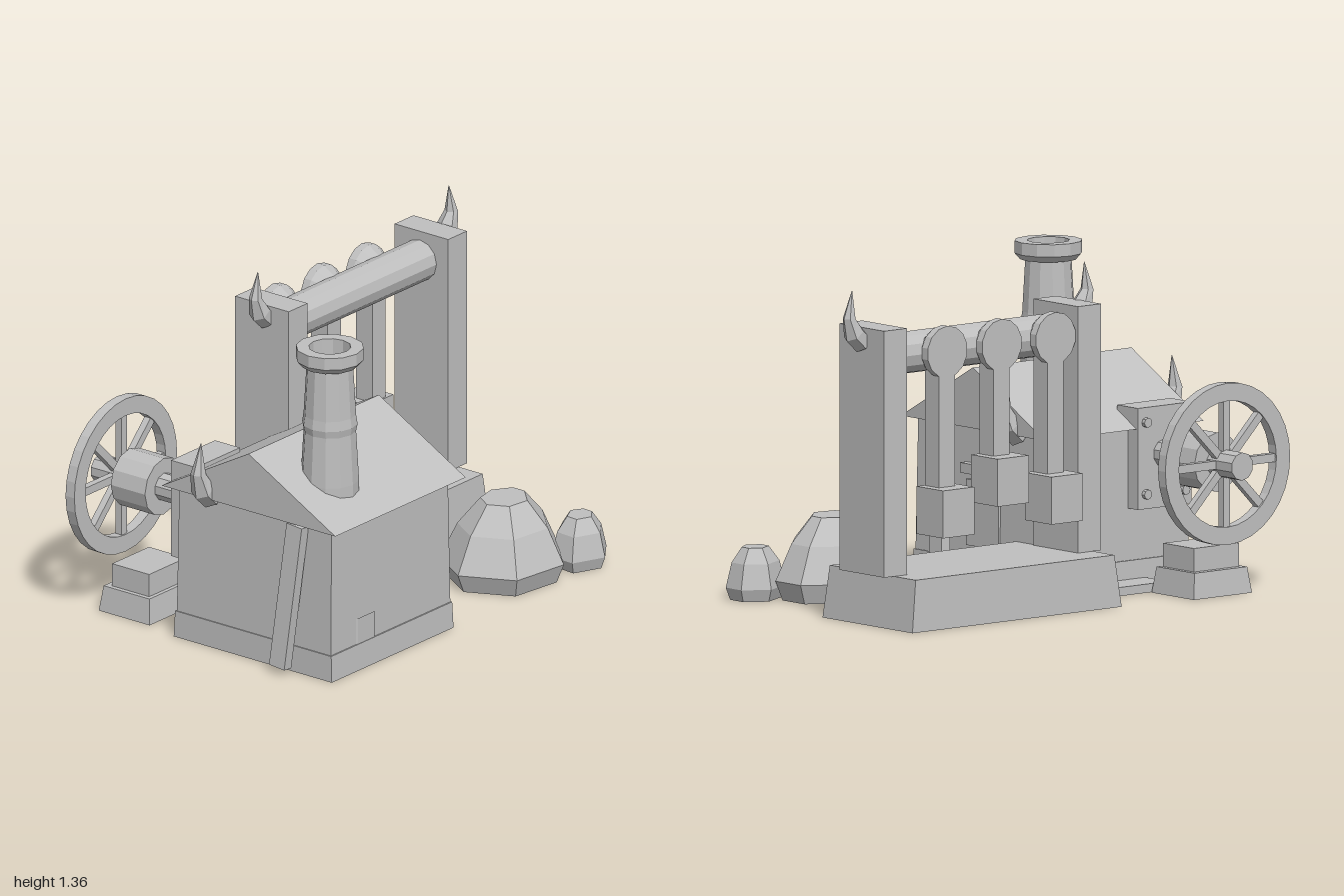
import * as THREE from 'three';

const stone = new THREE.MeshStandardMaterial({ color: 0xbfbfbf, flatShading: true, side: THREE.DoubleSide });
stone.name = 'plain grey';

export function createModel() {
  const model = new THREE.Group();
  const add = (name, geo, x = 0, y = 0, z = 0, parent = model) => {
    const m = new THREE.Mesh(geo, stone);
    m.name = name;
    m.position.set(x, y, z);
    parent.add(m);
    return m;
  };
  // box given by its limits
  const block = (name, x0, x1, y0, y1, z0, z1) =>
    add(name, new THREE.BoxGeometry(x1 - x0, y1 - y0, z1 - z0), (x0 + x1) / 2, (y0 + y1) / 2, (z0 + z1) / 2);
  // tapered hollow box without a floor
  const taperBox = (w0, d0, w1, d1, h) => {
    const g = new THREE.BoxGeometry(1, h, 1).translate(0, h / 2, 0);
    const p = g.attributes.position;
    for (let i = 0; i < p.count; i++) {
      const top = p.getY(i) > h / 2;
      p.setX(i, p.getX(i) * (top ? w1 : w0));
      p.setZ(i, p.getZ(i) * (top ? d1 : d0));
    }
    const idx = Array.from(g.index.array);
    idx.splice(18, 6);
    g.clearGroups();
    g.setIndex(idx);
    g.computeVertexNormals();
    return g;
  };
  // skin through rings of equal length, closed at both ends
  const loft = (rings) => {
    const n = rings[0].length, idx = [], pts = rings.flat();
    for (let r = 0; r < rings.length - 1; r++)
      for (let i = 0; i < n; i++) {
        const a = r * n + i, b = r * n + (i + 1) % n;
        idx.push(a, a + n, b, b, a + n, b + n);
      }
    const last = (rings.length - 1) * n;
    for (let i = 1; i < n - 1; i++) idx.push(0, i, i + 1, last, last + i + 1, last + i);
    const g = new THREE.BufferGeometry().setFromPoints(pts);
    g.setIndex(idx);
    g.computeVertexNormals();
    return g;
  };
  const zCylinder = (rBack, rFront, z0, z1, sides) =>
    new THREE.CylinderGeometry(rFront, rBack, z1 - z0, sides).rotateX(Math.PI / 2).translate(0, 0, (z0 + z1) / 2);

  // house walls, plinth and roof
  const hx = -0.485, hz = 0.225;
  add('houseWalls', taperBox(0.765, 0.79, 0.74, 0.78, 0.64), hx, 0, hz);
  add('housePlinth', taperBox(0.775, 0.81, 0.77, 0.8, 0.11), hx, 0, hz);
  const gable = new THREE.Shape([
    new THREE.Vector2(-0.445, 0), new THREE.Vector2(0.445, 0), new THREE.Vector2(0, 0.245)]);
  const roof = new THREE.ExtrudeGeometry(gable, { depth: 0.83, bevelEnabled: false });
  add('roof', roof.translate(0, 0, -0.415).rotateY(Math.PI / 2), hx, 0.645, hz);

  // chimney and the round hearth below it
  const profile = [[0.118, 0.69], [0.118, 0.76], [0.106, 0.97], [0.112, 1.0], [0.106, 1.04], [0.094, 1.25],
    [0.115, 1.25], [0.137, 1.275], [0.137, 1.325], [0.085, 1.325], [0.08, 1.1], [0, 1.1]];
  add('chimney', new THREE.LatheGeometry(profile.map(([r, y]) => new THREE.Vector2(r, y)), 12), -0.645, 0, 0.437);
  add('hearth', new THREE.CylinderGeometry(0.2, 0.2, 0.22, 12, 1, true).rotateY(Math.PI / 12), -0.645, 0.11, 0.43);

  // door and lintel
  block('door', -0.12, -0.098, 0.163, 0.43, 0.1, 0.3);
  block('lintel', -0.12, -0.078, 0.455, 0.496, 0.095, 0.315);

  // leaning props on both sides of the house
  for (const s of [-1, 1]) {
    const a = new THREE.Vector3(hx + s * 0.437, 0.03, 0.405);
    const b = new THREE.Vector3(hx + s * 0.39, 0.635, 0.457);
    const prop = add('leaningProp', new THREE.BoxGeometry(0.045, a.distanceTo(b), 0.078));
    prop.position.copy(a).add(b).multiplyScalar(0.5);
    prop.quaternion.setFromUnitVectors(new THREE.Vector3(0, 1, 0), b.sub(a).normalize());
  }

  // curved horns, pointing outward on the given side
  const horn = (x, y, z, side, size) => {
    const path = [[-0.01, -0.01, 0.045, 0.7], [0.035, 0.03, 0.045, 0.95], [0.06, 0.095, 0.027, 1.55], [0.045, 0.205, 0.001, 1.7]];
    const rings = path.map(([px, py, r, dir]) => Array.from({ length: 6 }, (_, i) => {
      const t = i * Math.PI / 3, u = r * Math.cos(t);
      return new THREE.Vector3(side * (px + u * Math.sin(dir)), py - u * Math.cos(dir), side * r * Math.sin(t));
    }));
    add('horn', loft(rings), x, y, z).scale.setScalar(size);
  };
  horn(0.92, 1.15, -0.25, 1, 1);
  horn(-0.205, 1.15, -0.25, -1, 1);
  horn(hx + 0.38, 0.65, -0.005, 1, 1.14);
  horn(hx - 0.38, 0.65, -0.005, -1, 1.14);

  // hammer platform, posts and cross shaft
  add('platform', taperBox(1.095, 0.555, 1.04, 0.53, 0.21), 0.3475, 0, -0.263);
  block('leftPost', 0.8, 0.92, 0.21, 1.205, -0.395, -0.12);
  block('rightPost', -0.215, -0.095, 0.21, 1.205, -0.395, -0.12);
  add('crossShaft', new THREE.CylinderGeometry(0.085, 0.085, 0.9, 12).rotateZ(Math.PI / 2), 0.352, 1.083, -0.265);

  // three hammers with their cams
  for (const [x, y] of [[0.013, 0.35], [0.295, 0.45], [0.58, 0.35]]) {
    const hammer = new THREE.Group();
    hammer.name = 'hammer';
    hammer.position.set(x, 0, 0);
    model.add(hammer);
    add('hammerHead', new THREE.BoxGeometry(0.163, 0.192, 0.165), 0, y + 0.096, -0.372, hammer);
    add('hammerRod', new THREE.BoxGeometry(0.085, 0.9 - y, 0.085), 0, (y + 0.19 + 1.09) / 2, -0.34, hammer);
    add('camDisc', zCylinder(0.105, 0.105, -0.385, -0.35, 14), 0, 1.087, 0, hammer);
    add('camCone', zCylinder(0.105, 0.06, -0.35, -0.28, 14), 0, 1.087, 0, hammer);
  }

  // water wheel: rim, spokes, axle and drum
  const wheel = new THREE.Group();
  wheel.name = 'wheel';
  wheel.position.set(-0.6875, 0.5375, 0);
  model.add(wheel);
  const ring = new THREE.Shape().absarc(0, 0, 0.327, 0, Math.PI * 2);
  ring.holes.push(new THREE.Path().absarc(0, 0, 0.255, 0, Math.PI * 2, true));
  add('wheelRim', new THREE.ExtrudeGeometry(ring, { depth: 0.045, bevelEnabled: false, curveSegments: 16 }), 0, 0, -0.62, wheel);
  for (let i = 0; i < 8; i++) {
    const spoke = new THREE.BoxGeometry(0.034, 0.22, 0.03).translate(0, 0.155, 0).rotateZ(i * Math.PI / 4);
    add('spoke', spoke, 0, 0, -0.5975, wheel);
  }
  add('axle', zCylinder(0.057, 0.057, -0.71, -0.17, 10), 0, 0, 0, wheel);
  add('drum', zCylinder(0.12, 0.12, -0.555, -0.38, 12), 0, 0, 0, wheel);

  // bolted bearing block on the back wall
  block('bearingBlock', -0.83, -0.55, 0.32, 0.73, -0.228, -0.1);
  for (const x of [-0.79, -0.59]) for (const y of [0.38, 0.67])
    add('bolt', zCylinder(0.02, 0.02, -0.245, -0.22, 8), x, y, 0);

  // wheel pedestal and the low step beside it
  add('pedestalBase', taperBox(0.305, 0.26, 0.275, 0.235, 0.105), -0.6875, 0, -0.46);
  block('pedestalTop', -0.805, -0.57, 0.1, 0.2, -0.55, -0.36);
  block('step', -0.63, -0.3, 0, 0.035, -0.32, -0.16);

  // rocks: one outline scaled at several heights
  const rock = (name, cx, cz, outline, levels) => {
    const rings = levels.map(([y, s]) => outline.map(([x, z]) => new THREE.Vector3((x - cx) * s, y, (z - cz) * s)));
    add(name, loft(rings), cx, 0, cz);
  };
  rock('largeRock', 0.49, 0.42,
    [[0.195, 0.417], [0.30, 0.635], [0.555, 0.67], [0.755, 0.47], [0.755, 0.315], [0.555, 0.18], [0.31, 0.23]],
    [[0, 0.88], [0.08, 1], [0.225, 0.73], [0.33, 0.38]]);
  rock('smallRock', 0.77, 0.58,
    [[0.655, 0.525], [0.645, 0.64], [0.78, 0.7], [0.888, 0.62], [0.892, 0.52], [0.79, 0.455]],
    [[0, 0.85], [0.05, 1], [0.15, 0.8], [0.21, 0.45]]);

  return model;
}
